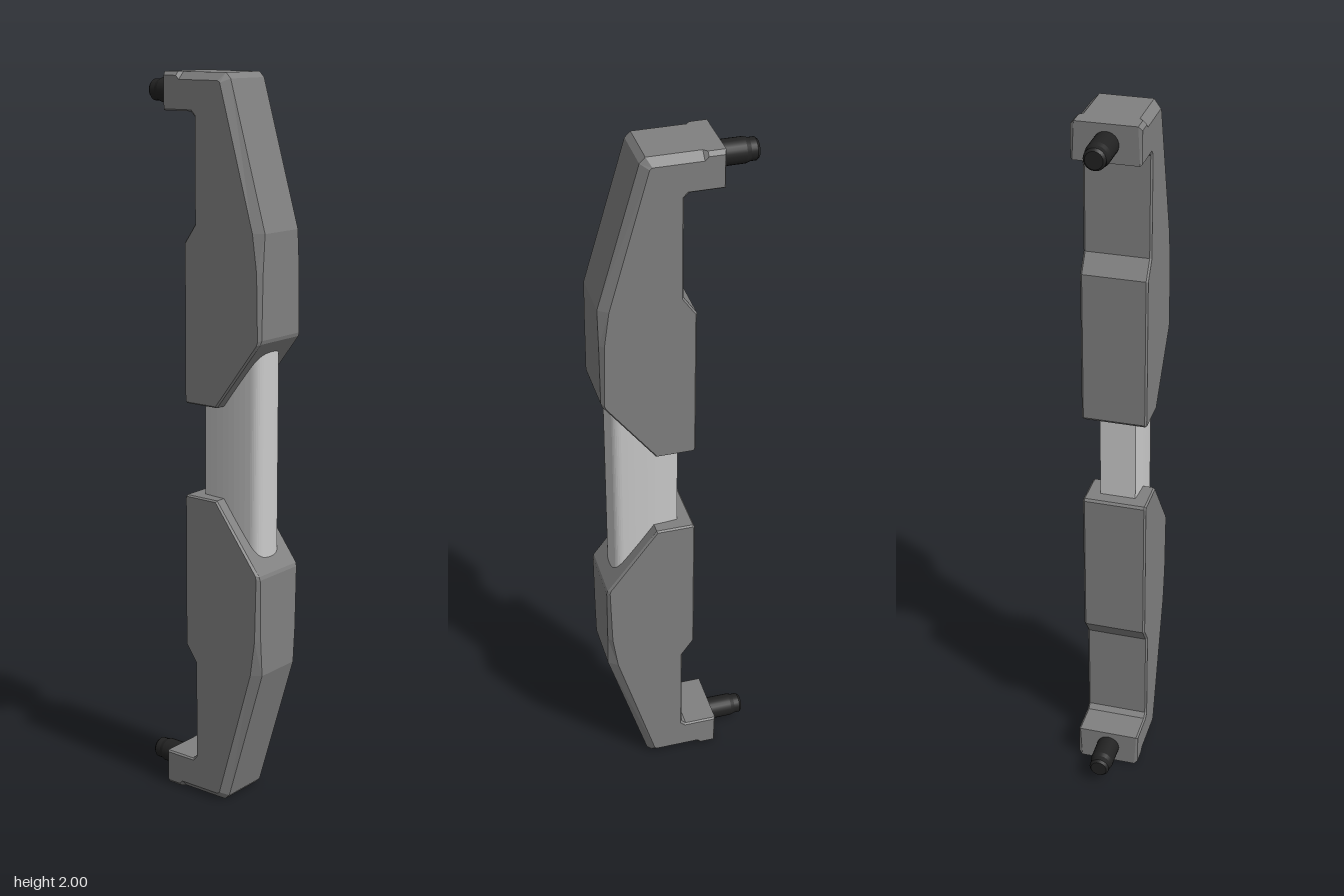
import * as THREE from 'three';

const bodyMat = new THREE.MeshStandardMaterial({ color: 0x808080 });
const barMat = new THREE.MeshStandardMaterial({ color: 0xcccccc });
const pinMat = new THREE.MeshStandardMaterial({ color: 0x222222 });

// Bracket outline, counter-clockwise: rim x, rim y, face x, face y, rim half depth
const HALF_DEPTH = 0.09;
const OUTLINE = [
  [-0.11, 1.9, -0.106, 1.904, 0.085],
  [-0.018, 1.9, -0.014, 1.904, 0.085],
  [-0.005, 1.887, -0.001, 1.891, 0.085],
  [-0.005, 1.61, -0.001, 1.608, 0.085],
  [-0.04, 1.56, -0.036, 1.558, 0.085],
  [-0.04, 1.135, -0.036, 1.137, 0.085],
  [-0.035, 1.128, -0.033, 1.132, 0.085],
  [0.068, 1.128, 0.066, 1.132, 0.085],
  [0.21, 1.315, 0.202, 1.312, 0.083],
  [0.213, 1.325, 0.205, 1.322, 0.082],
  [0.213, 1.5, 0.201, 1.5, 0.078],
  [0.213, 1.6, 0.187, 1.6, 0.071],
  [0.1, 1.985, 0.08, 1.975, 0.07],
  [0.085, 2.0, 0.073, 1.98, 0.07],
  [-0.055, 2.0, -0.055, 1.98, 0.07],
  [-0.065, 2.0, -0.065, 1.99, 0.08],
  [-0.11, 2.0, -0.106, 1.99, 0.08],
];

function bracketGeometry() {
  // Four loops from front face to back face, joined by bands
  const loops = [
    OUTLINE.map(p => [p[2], p[3], HALF_DEPTH]),
    OUTLINE.map(p => [p[0], p[1], p[4]]),
    OUTLINE.map(p => [p[0], p[1], -p[4]]),
    OUTLINE.map(p => [p[2], p[3], -HALF_DEPTH]),
  ];
  const pos = [];
  const tri = (a, b, c) => pos.push(...a, ...b, ...c);
  const n = OUTLINE.length;
  for (let k = 0; k < 3; k++) {
    for (let i = 0; i < n; i++) {
      const j = (i + 1) % n;
      const a = loops[k][i], b = loops[k][j], c = loops[k + 1][j], d = loops[k + 1][i];
      tri(a, d, c);
      tri(a, c, b);
    }
  }
  const face = OUTLINE.map(p => new THREE.Vector2(p[2], p[3]));
  for (const [a, b, c] of THREE.ShapeUtils.triangulateShape(face, [])) {
    tri(loops[0][a], loops[0][b], loops[0][c]);
    tri(loops[3][a], loops[3][c], loops[3][b]);
  }
  const geo = new THREE.BufferGeometry();
  geo.setAttribute('position', new THREE.Float32BufferAttribute(pos, 3));
  geo.computeVertexNormals();
  return geo;
}

function pinGeometry() {
  // Stepped pin with chamfered tip, turned to point along -x
  const profile = [
    [0, 0], [0.033, 0], [0.033, 0.07], [0.029, 0.082],
    [0.029, 0.098], [0.023, 0.105], [0, 0.105],
  ].map(([r, h]) => new THREE.Vector2(r, h));
  // Repeat inner points so every ring keeps a sharp edge
  const sharp = profile.flatMap((p, i) => (i > 0 && i < profile.length - 1 ? [p, p.clone()] : [p]));
  return new THREE.LatheGeometry(sharp, 24).rotateZ(Math.PI / 2);
}

function gripGeometry() {
  // Flat back, slightly bulged sides and rounded front edge
  const s = new THREE.Shape();
  s.moveTo(0, 0.05);
  s.lineTo(0, -0.05);
  s.quadraticCurveTo(0.09, -0.06, 0.155, -0.053);
  s.quadraticCurveTo(0.178, -0.05, 0.183, -0.025);
  s.quadraticCurveTo(0.187, 0, 0.183, 0.025);
  s.quadraticCurveTo(0.178, 0.05, 0.155, 0.053);
  s.quadraticCurveTo(0.09, 0.06, 0, 0.05);
  const geo = new THREE.ExtrudeGeometry(s, { depth: 0.58, bevelEnabled: false, curveSegments: 8 });
  return geo.rotateX(-Math.PI / 2).translate(0, 0.71, 0);
}

export function createModel() {
  const model = new THREE.Group();
  model.name = 'pullHandle';

  const add = (parent, name, geo, mat) => {
    const mesh = new THREE.Mesh(geo, mat);
    mesh.name = name;
    parent.add(mesh);
    return mesh;
  };

  // Central bar between the brackets
  add(model, 'gripBar', gripGeometry(), barMat);

  // Upper bracket with pin, and its mirror below
  const bracketGeo = bracketGeometry();
  const pinGeo = pinGeometry();
  for (const [side, sy] of [['upper', 1], ['lower', -1]]) {
    const end = new THREE.Group();
    end.name = side + 'End';
    add(end, side + 'Bracket', bracketGeo, bodyMat);
    add(end, side + 'Pin', pinGeo, pinMat).position.set(-0.11, 1.948, 0);
    end.scale.y = sy;
    end.position.y = sy > 0 ? 0 : 2;
    model.add(end);
  }
  return model;
}
